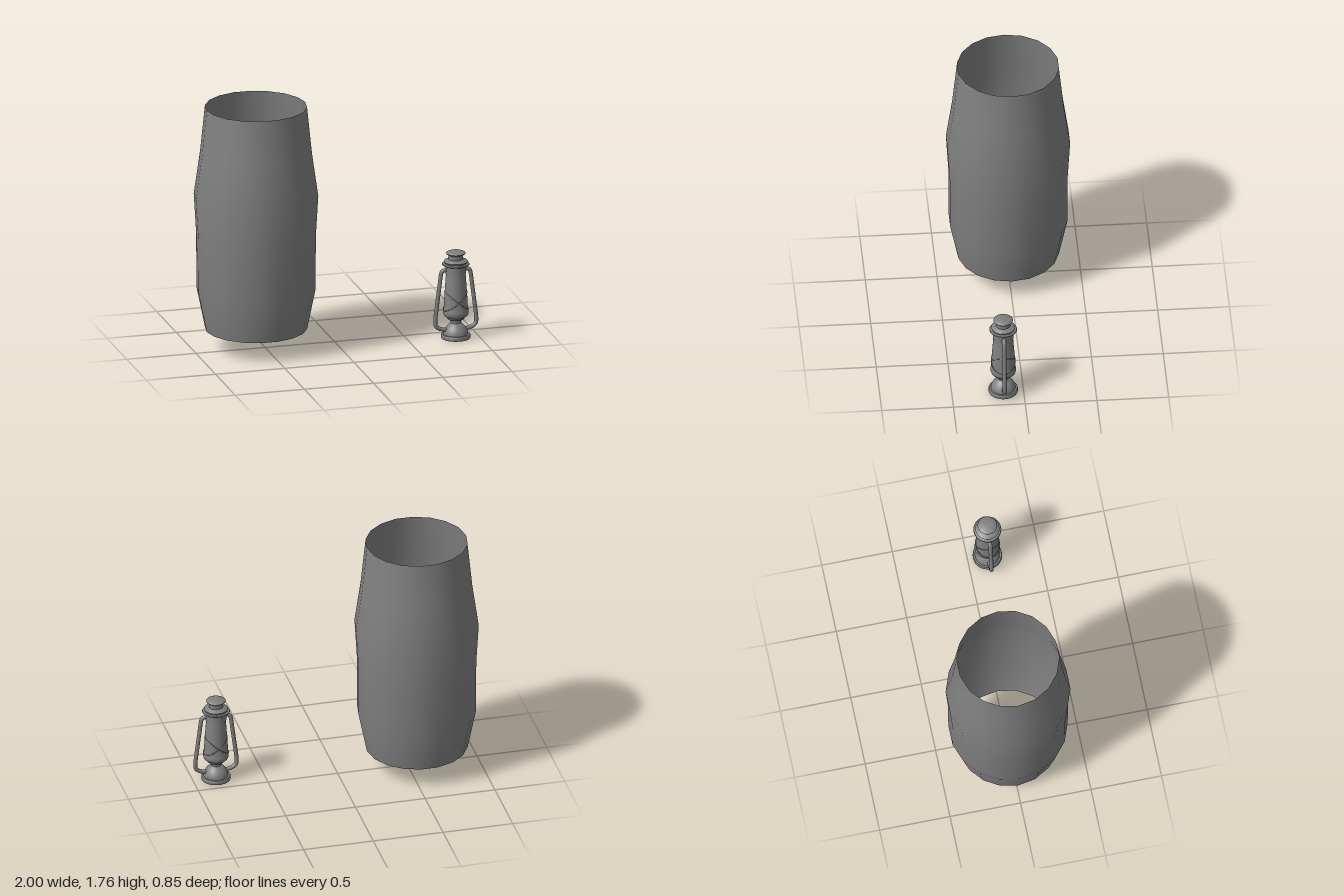
import * as THREE from 'three';
import { toCreasedNormals } from 'three/addons/utils/BufferGeometryUtils.js';

const metal = new THREE.MeshStandardMaterial({ color: 0x808080 });
const metalDouble = new THREE.MeshStandardMaterial({ color: 0x808080, side: THREE.DoubleSide });

const points = (list) => list.map(([a, b]) => new THREE.Vector2(a, b));

function add(parent, name, geometry, material = metal) {
  const mesh = new THREE.Mesh(geometry, material);
  mesh.name = name;
  parent.add(mesh);
  return mesh;
}

// Turned part from [radius, height] pairs, bottom to top, with sharp steps kept
function turned(parent, name, profile) {
  return add(parent, name, toCreasedNormals(new THREE.LatheGeometry(points(profile), 32), 0.6));
}

function createLantern() {
  const lantern = new THREE.Group();
  lantern.name = 'lantern';

  turned(lantern, 'basePlate', [[0, 0], [0.1, 0], [0.102, 0.004], [0.102, 0.024], [0.098, 0.03], [0, 0.032]]);
  turned(lantern, 'fuelTank', [[0.086, 0.03], [0.084, 0.045], [0.078, 0.062], [0.068, 0.079],
    [0.055, 0.094], [0.043, 0.104], [0.036, 0.11], [0.036, 0.138]]);
  turned(lantern, 'burner', [[0.034, 0.12], [0.04, 0.122], [0.04, 0.136], [0.058, 0.139], [0.062, 0.144],
    [0.06, 0.15], [0.07, 0.155], [0.078, 0.162], [0.06, 0.168]]);
  turned(lantern, 'globe', [[0.07, 0.155], [0.083, 0.166], [0.089, 0.182], [0.089, 0.198], [0.084, 0.215],
    [0.083, 0.25], [0.08, 0.3], [0.076, 0.36], [0.071, 0.43], [0.068, 0.47]]);
  turned(lantern, 'collar', [[0.066, 0.464], [0.072, 0.466], [0.072, 0.528], [0.064, 0.532]]);
  turned(lantern, 'hood', [[0.06, 0.53], [0.09, 0.53], [0.097, 0.535], [0.094, 0.541], [0.08, 0.545],
    [0.08, 0.552], [0.084, 0.557], [0.078, 0.563], [0.05, 0.572], [0.05, 0.6]]);
  turned(lantern, 'chimneyCap', [[0.05, 0.598], [0.054, 0.606], [0.066, 0.612], [0.068, 0.617],
    [0.064, 0.622], [0.054, 0.626], [0.046, 0.629], [0, 0.63]]);

  // Side tubes, mirrored left and right
  for (const side of [1, -1]) {
    const path = new THREE.CatmullRomCurve3([
      [0.06, 0.496], [0.085, 0.496], [0.1, 0.488], [0.107, 0.465], [0.118, 0.38], [0.136, 0.24],
      [0.148, 0.13], [0.145, 0.1], [0.128, 0.08], [0.1, 0.068], [0.06, 0.06],
    ].map(([x, y]) => new THREE.Vector3(side * x, y, 0)), false, 'centripetal');
    add(lantern, side > 0 ? 'leftSideTube' : 'rightSideTube', new THREE.TubeGeometry(path, 56, 0.0145, 12));
  }

  // Two tilted guard wires that cross in front of and behind the globe
  for (const tilt of [1, -1]) {
    const loop = [];
    for (let i = 0; i < 24; i++) {
      const a = (i / 24) * Math.PI * 2;
      const y = 0.27 + tilt * 0.065 * Math.cos(a);
      const r = 0.086 - 0.08 * (y - 0.23);
      loop.push(new THREE.Vector3(r * Math.cos(a), y, r * Math.sin(a)));
    }
    add(lantern, tilt > 0 ? 'guardWireA' : 'guardWireB',
      new THREE.TubeGeometry(new THREE.CatmullRomCurve3(loop, true), 48, 0.003, 6, true));
  }
  return lantern;
}

export function createModel() {
  const model = new THREE.Group();

  // Open bulging sleeve with eighteen sides
  const sleeveProfile = [[0.356, 0.149], [0.415, 0.44], [0.417, 0.83], [0.434, 1.12], [0.39, 1.43], [0.356, 1.764]];
  const sleeve = add(model, 'sleeve', new THREE.LatheGeometry(points(sleeveProfile), 18, Math.PI / 2), metalDouble);
  sleeve.position.x = -0.566;

  const lantern = createLantern();
  lantern.position.set(0.837, 0, 0.141);
  model.add(lantern);
  return model;
}
